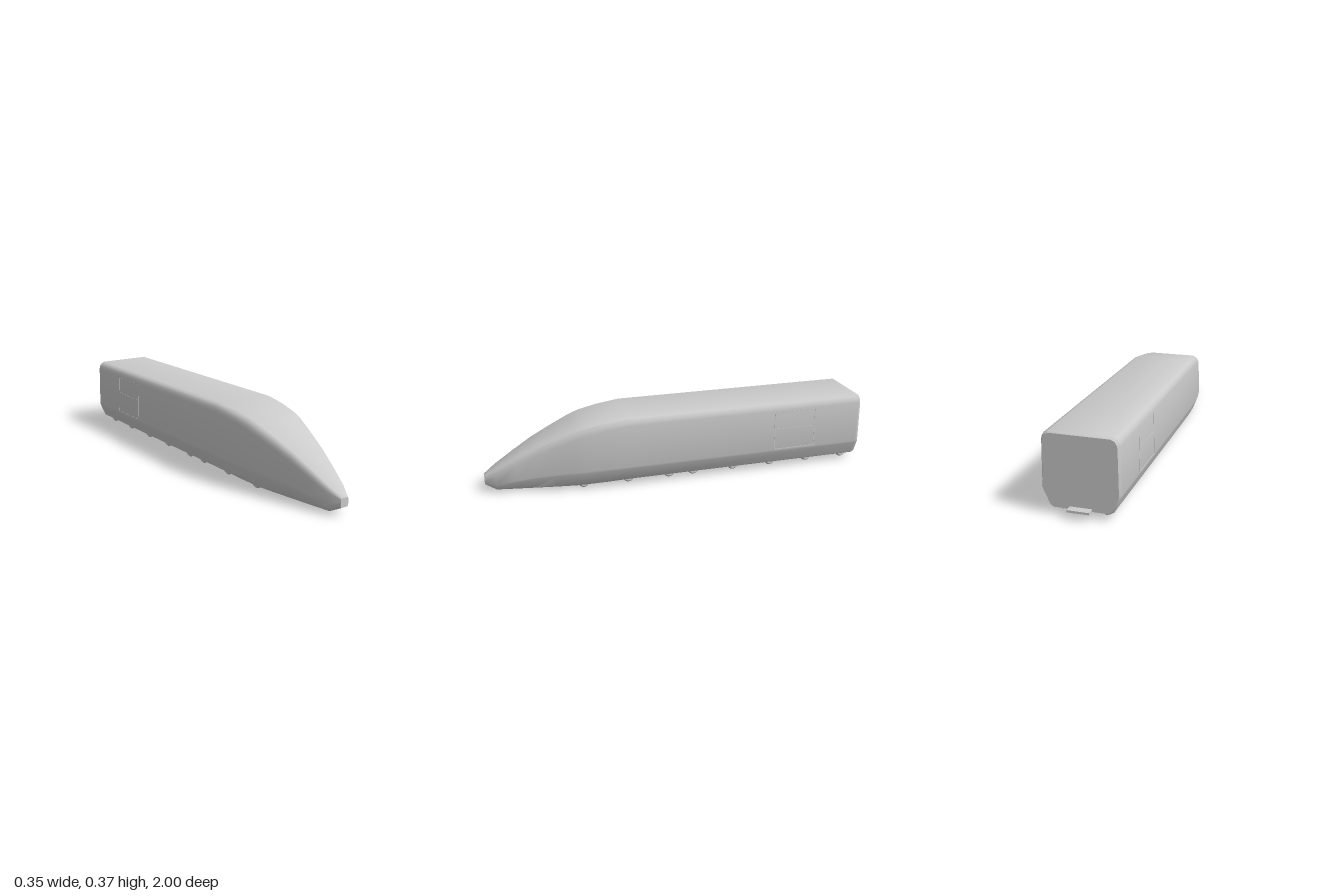
import * as THREE from 'three';
import { toCreasedNormals } from 'three/addons/utils/BufferGeometryUtils.js';

const material = new THREE.MeshStandardMaterial({ color: 0xcccccc });

function addMesh(parent, geometry, name, x = 0, y = 0, z = 0) {
  const mesh = new THREE.Mesh(geometry, material);
  mesh.name = name;
  mesh.position.set(x, y, z);
  parent.add(mesh);
  return mesh;
}

// Cross-section ring at z, counter-clockwise seen from the front.
// b/wb: floor height and half width, w/m: waist, s/ws: shoulder, t/wt: roof
function section({ z, b, wb, w, m, ws, s, wt, t, recess = 0 }) {
  const rw = Math.min(0.112, wb * 0.92);
  const half = [
    [rw, b + recess], [rw, b], [wb, b],
    [wb + (w - wb) * 0.35, b + (m - b) * 0.12],
    [w - (w - wb) * 0.06, m - (m - b) * 0.12],
    [w, m], [ws, s],
    [ws - (ws - wt) * 0.1, s + (t - s) * 0.4],
    [ws - (ws - wt) * 0.42, s + (t - s) * 0.8],
    [wt, t],
  ];
  const ring = [...half, ...half.slice().reverse().map(([x, y]) => [-x, y])];
  return ring.map(([x, y]) => new THREE.Vector3(x, y, z));
}

// Skin between successive rings, closed at both ends
function loft(rings) {
  const positions = [];
  const tri = (...pts) => {
    const [a, b, c] = pts;
    const area = b.clone().sub(a).cross(c.clone().sub(a)).length();
    if (area > 1e-9) pts.forEach((p) => positions.push(p.x, p.y, p.z));
  };
  const n = rings[0].length;
  for (let k = 0; k < rings.length - 1; k++) {
    for (let i = 0; i < n; i++) {
      const j = (i + 1) % n;
      const a = rings[k][i], b = rings[k][j], c = rings[k + 1][j], d = rings[k + 1][i];
      tri(a, b, d);
      tri(b, c, d);
    }
  }
  const back = rings[0], front = rings[rings.length - 1];
  for (let i = 1; i < n - 1; i++) {
    tri(back[0], back[i + 1], back[i]);
    tri(front[0], front[i], front[i + 1]);
  }
  const geometry = new THREE.BufferGeometry();
  geometry.setAttribute('position', new THREE.Float32BufferAttribute(positions, 3));
  return toCreasedNormals(geometry, 0.6);
}

function createBody() {
  const main = { b: 0.028, wb: 0.125, w: 0.175, m: 0.115, ws: 0.171, s: 0.33, wt: 0.138, t: 0.37 };
  const recess = 0.042;
  const nose = [
    { z: 0.4, b: 0.024, wb: 0.122, w: 0.167, m: 0.112, ws: 0.162, s: 0.315, wt: 0.13, t: 0.357, recess },
    { z: 0.5, b: 0.021, wb: 0.115, w: 0.156, m: 0.107, ws: 0.151, s: 0.293, wt: 0.121, t: 0.338, recess },
    { z: 0.555, b: 0.019, wb: 0.11, w: 0.147, m: 0.104, ws: 0.142, s: 0.275, wt: 0.114, t: 0.32, recess },
    { z: 0.555, b: 0.019, wb: 0.11, w: 0.147, m: 0.104, ws: 0.142, s: 0.275, wt: 0.114, t: 0.32 },
    { z: 0.65, b: 0.016, wb: 0.09, w: 0.124, m: 0.096, ws: 0.12, s: 0.237, wt: 0.096, t: 0.28 },
    { z: 0.755, b: 0.014, wb: 0.068, w: 0.1, m: 0.084, ws: 0.096, s: 0.191, wt: 0.076, t: 0.232 },
    { z: 0.85, b: 0.013, wb: 0.05, w: 0.077, m: 0.066, ws: 0.073, s: 0.143, wt: 0.056, t: 0.179 },
    { z: 0.945, b: 0.013, wb: 0.033, w: 0.052, m: 0.046, ws: 0.047, s: 0.095, wt: 0.035, t: 0.123 },
    { z: 1, b: 0.042, wb: 0.016, w: 0.022, m: 0.052, ws: 0.021, s: 0.076, wt: 0.017, t: 0.085 },
  ];
  const rear = { ...main, b: 0.033, wb: 0.12, w: 0.168, ws: 0.164, s: 0.325, wt: 0.133, t: 0.363 };
  const stations = [
    { ...rear, z: -0.963 },
    { ...main, z: -0.952 },
    { ...main, z: -0.942 },
    { ...main, z: -0.942, recess },
    { ...main, z: 0.285, recess },
    ...nose,
  ];
  return loft(stations.map(section));
}

// Thin trim outlining a two-part side door
function createDoor(side) {
  const door = new THREE.Group();
  door.name = side > 0 ? 'leftDoor' : 'rightDoor';
  const height = 0.2, length = 0.225, line = 0.005, depth = 0.004;
  for (const y of [-height / 2, 0.01, height / 2]) {
    addMesh(door, new THREE.BoxGeometry(depth, line, length), 'doorRail', 0, y, 0);
  }
  for (const z of [-length / 2, length / 2]) {
    addMesh(door, new THREE.BoxGeometry(depth, height + line, line), 'doorPost', 0, 0, z);
  }
  door.position.set(side * 0.1724, 0.22, -0.588);
  door.rotation.set(0, side > 0 ? 0 : Math.PI, 0.0186);
  return door;
}

// Axle with two flanged, coned wheels
function createWheelset(z) {
  const set = new THREE.Group();
  set.name = 'wheelset';
  const profile = [[0, 0], [0.029, 0], [0.029, 0.003], [0.021, 0.013], [0, 0.013]]
    .map(([r, h]) => new THREE.Vector2(r, h));
  const wheel = toCreasedNormals(new THREE.LatheGeometry(profile, 24).toNonIndexed(), 0.5);
  for (const side of [-1, 1]) {
    addMesh(set, wheel, 'wheel', side * 0.096).rotation.z = -side * Math.PI / 2;
  }
  addMesh(set, new THREE.CylinderGeometry(0.01, 0.01, 0.192, 16), 'axle').rotation.z = Math.PI / 2;
  set.position.set(0, 0.03, z);
  return set;
}

export function createModel() {
  const model = new THREE.Group();
  model.name = 'train';
  addMesh(model, createBody(), 'body');
  for (const side of [-1, 1]) model.add(createDoor(side));
  for (const z of [0.52, 0.29, 0.075, -0.055, -0.275, -0.485, -0.695, -0.905]) {
    model.add(createWheelset(z));
  }
  // Rear coupling plate
  addMesh(model, new THREE.BoxGeometry(0.1, 0.01, 0.06), 'rearCoupler', 0, 0.04, -0.97);
  return model;
}
